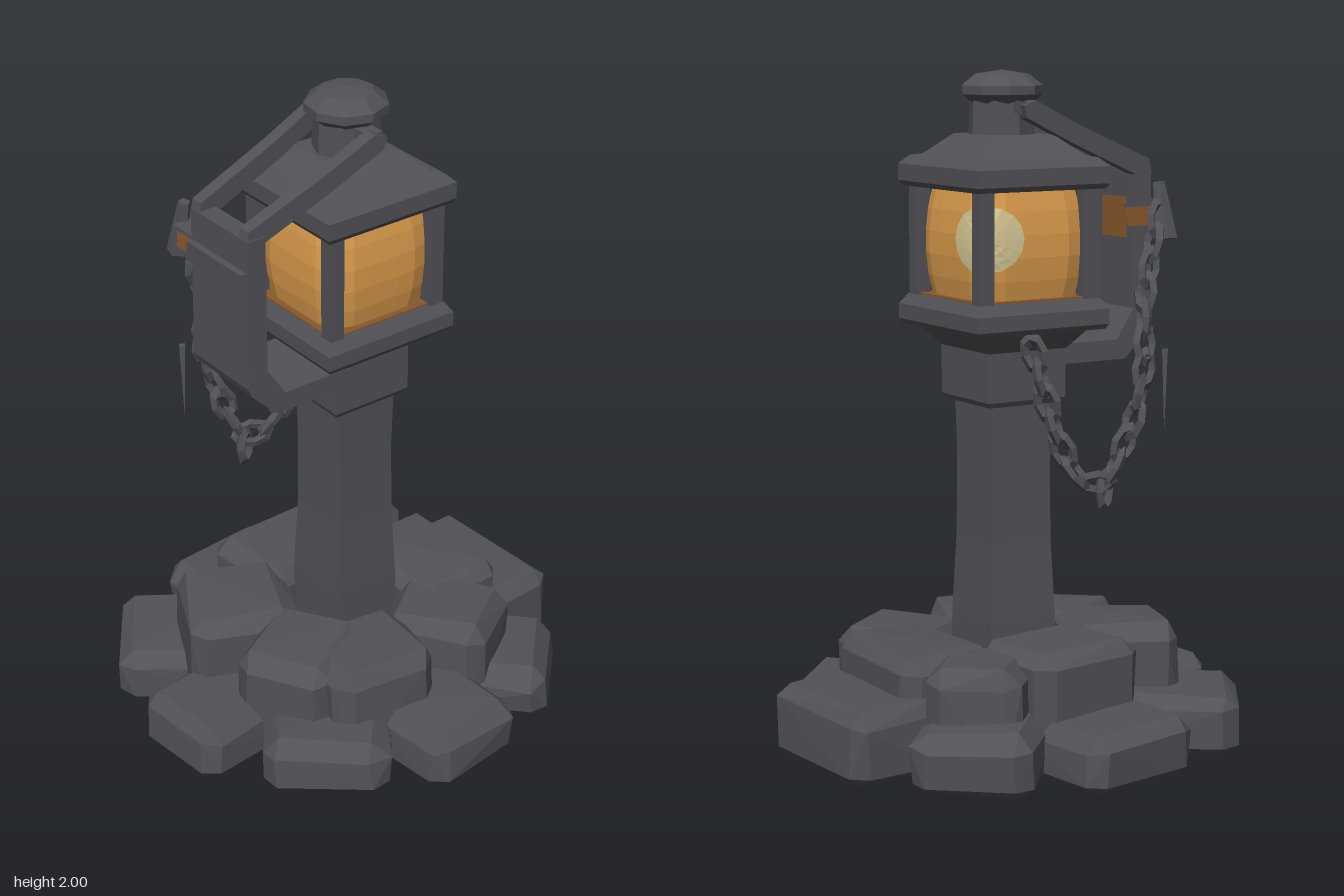
import * as THREE from 'three';
import { ConvexGeometry } from 'three/addons/geometries/ConvexGeometry.js';

const flat = (name, color, side = THREE.FrontSide) => {
  const m = new THREE.MeshStandardMaterial({ color, side, flatShading: true });
  m.name = name;
  return m;
};

export function createModel() {
  const iron = flat('dark iron and stone', 0x515157, THREE.DoubleSide);
  const amber = flat('amber glass', 0xdb9c4c, THREE.DoubleSide);
  const glow = flat('pale glow', 0xd6c893, THREE.DoubleSide);
  const rust = flat('warm brown', 0x8a582c);

  const model = new THREE.Group();
  model.name = 'lanternPost';

  let seed = 7;
  const rand = () => {
    seed = (seed * 16807) % 2147483647;
    return seed / 2147483647 - 0.5;
  };

  const add = (parent, name, geo, mat, x = 0, y = 0, z = 0) => {
    const mesh = new THREE.Mesh(geo, mat);
    mesh.name = name;
    mesh.position.set(x, y, z);
    parent.add(mesh);
    return mesh;
  };

  // Rough chamfered block: radial length l, width w, height h, standing on y0
  const stone = (name, x, z, deg, l, w, h, y0 = 0) => {
    const c = 0.045, pts = [];
    for (const sx of [-1, 1]) for (const sy of [0, 1]) for (const sz of [-1, 1])
      for (const k of [0, 1, 2]) {
        const px = l / 2 - (k === 0 ? 0 : c), pz = w / 2 - (k === 2 ? 0 : c);
        const py = sy ? h - (k === 1 ? 0 : c) : (k === 1 ? 0 : c * 0.6);
        const j = sy ? 0.024 : 0.008;
        pts.push(new THREE.Vector3(
          sx * px + rand() * j,
          sy ? py + rand() * 0.02 : py,
          sz * pz + rand() * j));
      }
    const m = add(model, name, new ConvexGeometry(pts), iron, x, y0, z);
    m.rotation.y = -THREE.MathUtils.degToRad(deg);
  };

  // Outer ring of stones: x, z, angle, length, width, height
  [
    [0.51, 0.068, 5, 0.33, 0.48, 0.22], [0.274, 0.377, 54.6, 0.4, 0.35, 0.16],
    [-0.06, 0.465, 92, 0.37, 0.35, 0.17], [-0.33, 0.274, 138.3, 0.4, 0.37, 0.165],
    [-0.49, -0.025, 182, 0.38, 0.335, 0.17], [-0.327, -0.35, 224, 0.42, 0.38, 0.18],
    [0.038, -0.46, 270, 0.38, 0.395, 0.17], [0.345, -0.29, 319.5, 0.4, 0.35, 0.18],
  ].forEach(s => stone('outerStone', ...s));

  // Inner ring of taller stones
  [
    [0.31, 0.06, 8, 0.32, 0.43, 0.325], [0.17, 0.28, 64, 0.34, 0.31, 0.31],
    [-0.16, 0.265, 107, 0.33, 0.34, 0.32], [-0.3, 0.12, 158, 0.32, 0.3, 0.33],
    [-0.28, -0.18, 212, 0.34, 0.35, 0.35], [0.04, -0.27, 272, 0.32, 0.37, 0.35],
    [0.29, -0.22, 320, 0.33, 0.28, 0.32],
  ].forEach(s => stone('innerStone', ...s, 0.01));

  // Post and lantern share a slight turn
  const lamp = new THREE.Group();
  lamp.name = 'lamp';
  lamp.position.x = 0.02;
  lamp.rotation.y = -0.147;
  model.add(lamp);

  // Square tower from [half width, height] pairs
  const tower = (name, rows, mat = iron) => add(lamp, name, new THREE.LatheGeometry(
    rows.map(([r, y]) => new THREE.Vector2(r * Math.SQRT2, y)), 4, Math.PI / 4), mat);
  const box = (name, mat, w, h, d, x, y, z) =>
    add(lamp, name, new THREE.BoxGeometry(w, h, d), mat, x, y, z);

  tower('post', [[0, 0.02], [0.115, 0.02], [0.112, 0.38], [0.102, 0.62], [0.1, 0.85], [0.104, 1.05]]);
  tower('collar', [[0, 1.03], [0.125, 1.03], [0.133, 1.045], [0.133, 1.19], [0.142, 1.2],
    [0.185, 1.255], [0, 1.255]]);
  tower('lanternBase', [[0, 1.25], [0.216, 1.25], [0.225, 1.265], [0.225, 1.31], [0.205, 1.34], [0, 1.34]]);
  tower('warmTray', [[0, 1.341], [0.19, 1.341], [0.19, 1.346], [0, 1.346]], rust);
  tower('roof', [[0, 1.66], [0.216, 1.66], [0.225, 1.675], [0.225, 1.725], [0.2, 1.75],
    [0.172, 1.755], [0.105, 1.815], [0, 1.815]]);
  for (const sx of [-1, 1]) for (const sz of [-1, 1])
    box('cornerPost', iron, 0.046, 0.36, 0.046, sx * 0.179, 1.5, sz * 0.179);

  // Chimney and its cap
  add(lamp, 'chimney', new THREE.CylinderGeometry(0.095, 0.1, 0.12, 8), iron, 0.006, 1.86, 0);
  add(lamp, 'chimneyCap', new THREE.LatheGeometry([[0, 1.905], [0.09, 1.905], [0.122, 1.93],
    [0.122, 1.955], [0.08, 1.988], [0, 2]].map(p => new THREE.Vector2(...p)), 9), iron, 0.006);

  // Bulging glass with a rounded square section
  const glassPoint = (angle, t, grow, out) => {
    const c = Math.cos(angle), s = Math.sin(angle);
    const r = (0.168 + 0.021 * (1 - t * t)) * grow / Math.pow(c ** 6 + s ** 6, 1 / 6);
    return out.set(r * c, 1.5 + t * 0.165, r * s);
  };
  const bend = (geo, rule) => {
    const p = geo.attributes.position, v = new THREE.Vector3();
    for (let i = 0; i < p.count; i++) {
      rule(v.fromBufferAttribute(p, i));
      p.setXYZ(i, v.x, v.y, v.z);
    }
    geo.computeVertexNormals();
    return geo;
  };
  add(lamp, 'glass', bend(new THREE.PlaneGeometry(Math.PI * 2, 2, 24, 5),
    v => glassPoint(-v.x, v.y, 1, v)), amber);
  add(lamp, 'glowSpot', bend(new THREE.RingGeometry(0.001, 1, 16, 4),
    v => glassPoint(-Math.PI / 4 + v.x * 0.54, 0.14 + v.y * 0.58, 1.02, v)), glow);

  // Carrying handle: broad bent plate below, two arms above
  const plate = (name, pts, depth, z) => add(lamp, name, new THREE.ExtrudeGeometry(
    new THREE.Shape(pts.map(p => new THREE.Vector2(...p))),
    { depth, bevelEnabled: false }).translate(0, 0, -depth / 2), iron, 0, 0, z);
  plate('handlePlate', [[-0.445, 1.71], [-0.45, 1.25], [-0.44, 1.225], [-0.355, 1.14], [-0.1, 1.14],
    [-0.1, 1.2], [-0.325, 1.2], [-0.385, 1.29], [-0.385, 1.71]], 0.27, 0.015);
  for (const side of [-1, 1]) {
    const arm = plate('handleArm', [[-0.445, 1.69], [-0.435, 1.735], [-0.18, 1.84], [-0.02, 1.915],
      [0.02, 1.9], [0.01, 1.865], [-0.16, 1.785], [-0.385, 1.69]], 0.042, 0.01);
    bend(arm.geometry, v => { v.z += side * (0.113 + 0.022 * (v.x + 0.44) / 0.45); });
  }
  box('handleCrossbar', iron, 0.05, 0.035, 0.27, -0.005, 1.892, 0.01);
  box('handleStrap', iron, 0.024, 0.06, 0.26, -0.455, 1.585, 0.015);
  box('handleGlow', rust, 0.006, 0.12, 0.12, -0.383, 1.56, -0.02);

  // Hook and bracket that hold the chain
  const bracket = add(model, 'bracket', new THREE.BoxGeometry(0.065, 0.055, 0.1), rust, -0.345, 1.57, -0.225);
  const lid = add(model, 'bracketLid', new THREE.BoxGeometry(0.075, 0.012, 0.12), iron, -0.345, 1.604, -0.225);
  bracket.rotation.x = lid.rotation.x = 0.1;
  const hook = add(model, 'hook', new THREE.CylinderGeometry(0.018, 0.034, 0.17, 5), iron, -0.34, 1.59, -0.297);
  hook.rotation.x = 0.2;
  add(model, 'spike', new THREE.ConeGeometry(0.012, 0.25, 4), iron, -0.325, 1.06, -0.33).rotation.x = Math.PI;

  // Hanging chain: links turn a quarter from one to the next
  const path = new THREE.CatmullRomCurve3([
    [-0.32, 1.57, -0.3], [-0.25, 1.33, -0.32], [-0.225, 1.13, -0.345], [-0.175, 0.94, -0.33],
    [-0.12, 0.81, -0.285], [-0.05, 0.83, -0.25], [0.01, 0.97, -0.22], [0.06, 1.19, -0.185],
  ].map(p => new THREE.Vector3(...p)));
  const linkGeo = new THREE.TorusGeometry(0.029, 0.014, 4, 8).scale(1, 1.6, 1);
  const chain = new THREE.Group();
  chain.name = 'chain';
  model.add(chain);
  const up = new THREE.Vector3(0, 1, 0), count = 18;
  const link = (pos, dir, turn) => {
    const m = add(chain, 'chainLink', linkGeo, iron, pos.x, pos.y, pos.z);
    m.quaternion.setFromUnitVectors(up, dir);
    m.rotateY(turn);
  };
  for (let i = 0; i < count; i++) {
    const u = i / (count - 1);
    link(path.getPointAt(u), path.getTangentAt(u), 0.6 + (i % 2) * Math.PI / 2);
  }
  link(new THREE.Vector3(-0.135, 0.775, -0.275), up, 0.3);

  return model;
}
